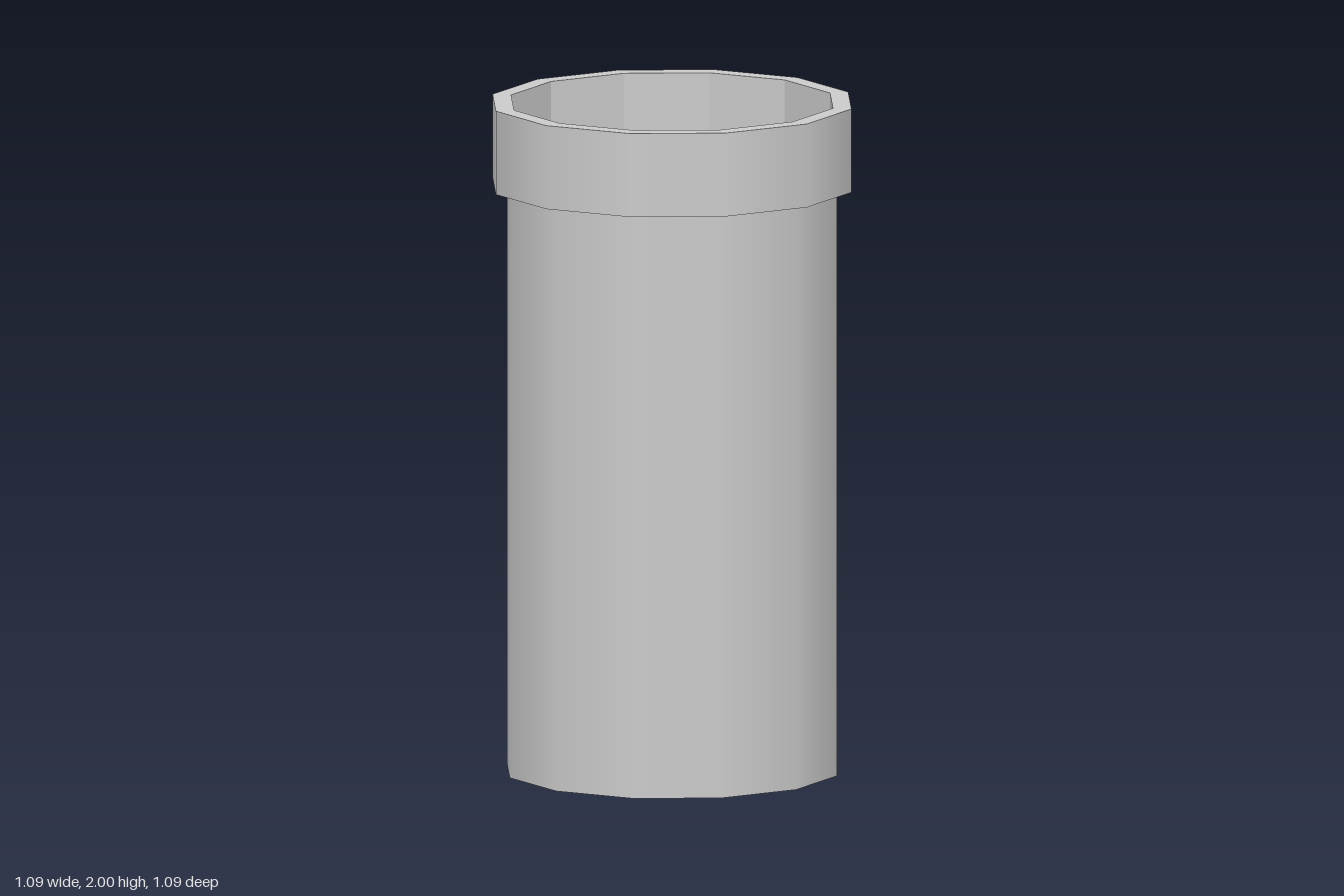
import * as THREE from 'three';

const SIDES = 12;
const BORE = 0.487, PIPE = 0.5, COLLAR = 0.543;
const COLLAR_BOTTOM = 1.75, TOP = 2;

// One ring of faces between two (radius, height) points; running upward faces outward.
function band(name, from, to, flat) {
  const geometry = new THREE.LatheGeometry(
    [new THREE.Vector2(...from), new THREE.Vector2(...to)], SIDES);
  const material = new THREE.MeshStandardMaterial({ color: 0xcccccc, flatShading: flat });
  const mesh = new THREE.Mesh(geometry, material);
  mesh.name = name;
  return mesh;
}

export function createModel() {
  const model = new THREE.Group();
  model.name = 'pipe';

  // Straight tube: smooth outside, faceted bore, open at both ends
  const tube = new THREE.Group();
  tube.name = 'tube';
  tube.add(
    band('tubeOuterWall', [PIPE, 0], [PIPE, COLLAR_BOTTOM], false),
    band('tubeBore', [BORE, COLLAR_BOTTOM], [BORE, 0], true),
    band('tubeBottomEdge', [BORE, 0], [PIPE, 0], true),
  );

  // Wider collar around the mouth
  const collar = new THREE.Group();
  collar.name = 'collar';
  collar.add(
    band('collarUnderside', [PIPE, COLLAR_BOTTOM], [COLLAR, COLLAR_BOTTOM], true),
    band('collarOuterWall', [COLLAR, COLLAR_BOTTOM], [COLLAR, TOP], false),
    band('collarTopEdge', [COLLAR, TOP], [BORE, TOP], true),
    band('collarBore', [BORE, TOP], [BORE, COLLAR_BOTTOM], true),
  );

  model.add(tube, collar);
  return model;
}
